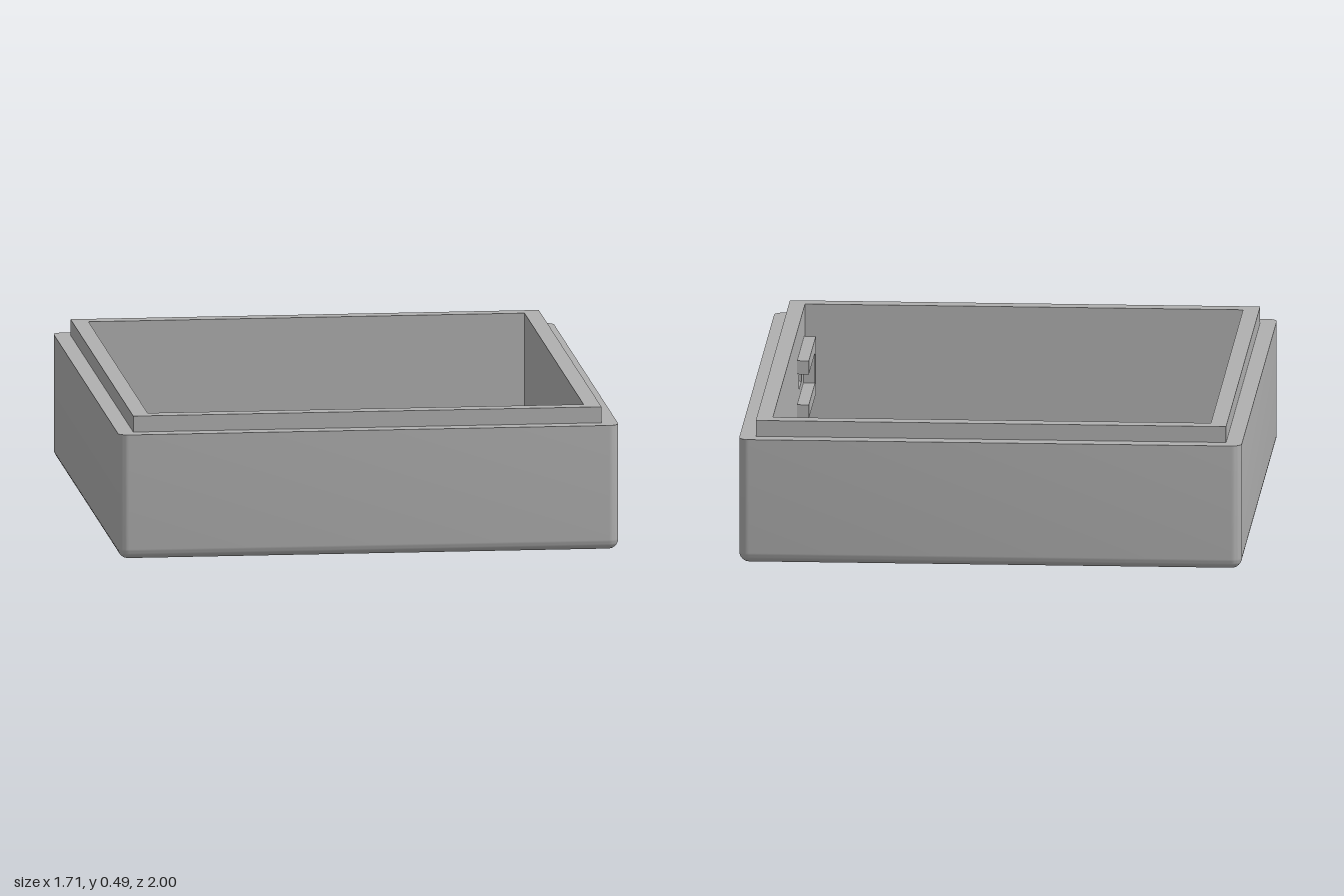
import * as THREE from 'three';
import { toCreasedNormals } from 'three/addons/utils/BufferGeometryUtils.js';

const W = 0.855, D = 1, R = 0.035;          // outer half sizes and edge radius
const IW = 0.745, ID = 0.89;                // cavity half sizes
const FLOOR = 0.055, RIM = 0.43, TOP = 0.485;
const STEPS = 8;

// Rounded rectangle outline at height y, starting on the +x side
function ring(w, d, y, r = 0) {
  const pts = [];
  [[1, 1], [-1, 1], [-1, -1], [1, -1]].forEach(([sx, sz], c) => {
    for (let i = 0; i <= STEPS; i++) {
      const a = (c + i / STEPS) * Math.PI / 2;
      pts.push(new THREE.Vector3(sx * (w - r) + r * Math.cos(a), y, sz * (d - r) + r * Math.sin(a)));
    }
  });
  return pts;
}

// Skin through successive rings; openRight leaves out the flat +x face
function loft(rings) {
  const pos = [];
  const tri = (a, b, c) => {
    const n = b.clone().sub(a).cross(c.clone().sub(a));
    if (n.length() > 1e-10) [a, b, c].forEach(p => pos.push(p.x, p.y, p.z));
  };
  for (let k = 0; k < rings.length - 1; k++) {
    const a = rings[k].pts, b = rings[k + 1].pts, n = a.length;
    for (let i = 0; i < n; i++) {
      if (rings[k].openRight && i === n - 1) continue;
      const j = (i + 1) % n;
      tri(a[i], b[i], a[j]);
      tri(b[i], b[j], a[j]);
    }
  }
  const g = new THREE.BufferGeometry();
  g.setAttribute('position', new THREE.Float32BufferAttribute(pos, 3));
  return toCreasedNormals(g, 0.5);
}

function rect(Type, x0, x1, y0, y1) {
  return new Type([[x0, y0], [x1, y0], [x1, y1], [x0, y1]].map(p => new THREE.Vector2(...p)));
}

function extrude(shape, depth) {
  const g = new THREE.ExtrudeGeometry(shape, { depth, bevelEnabled: false, curveSegments: 40 });
  return toCreasedNormals(g, 0.5);
}

// Plate standing in the side wall: shape x becomes z, outer face at x
function sidePlate(shape, x, depth) {
  return extrude(shape, depth).rotateY(-Math.PI / 2).translate(x, 0, 0);
}

export function createModel() {
  const group = new THREE.Group();
  const grey = new THREE.MeshStandardMaterial({ color: 0xb0b0b0 });
  grey.name = 'grey plastic';
  const add = (name, geometry) => {
    const mesh = new THREE.Mesh(geometry, grey);
    mesh.name = name;
    group.add(mesh);
    return mesh;
  };

  // Tray skin: underside border, rounded edge, walls, stepped lip, cavity
  const rings = [{ pts: ring(IW, ID, 0) }];
  for (let i = 0; i <= STEPS; i++) {
    const a = i / STEPS * Math.PI / 2, s = R * Math.sin(a);
    rings.push({ pts: ring(W - R + s, D - R + s, R - R * Math.cos(a), s), openRight: i === STEPS });
  }
  rings.push(
    { pts: ring(W, D, RIM, R) },
    { pts: ring(W - 0.055, D - 0.055, RIM) },
    { pts: ring(W - 0.055, D - 0.055, TOP) },
    { pts: ring(IW, ID, TOP) },
    { pts: ring(IW, ID, RIM), openRight: true },
    { pts: ring(IW, ID, FLOOR) });
  add('trayShell', loft(rings));

  // Floor with the round cable hole
  const floor = rect(THREE.Shape, -IW, IW, -ID, ID);
  floor.holes.push(new THREE.Path().absarc(0, 0.525, 0.088, 0, Math.PI * 2, true));
  add('floor', extrude(floor, FLOOR).rotateX(-Math.PI / 2));

  // Port wall: shallow pocket outside, smaller window through the rest
  const outer = rect(THREE.Shape, -D + R, D - R, R, RIM);
  outer.holes.push(rect(THREE.Path, 0.505, 0.73, 0.215, 0.36));
  add('portWallOuter', sidePlate(outer, W, 0.02));
  const inner = rect(THREE.Shape, -ID, ID, FLOOR, RIM);
  inner.holes.push(rect(THREE.Path, 0.547, 0.692, 0.26, 0.315));
  add('portWallInner', sidePlate(inner, W - 0.02, W - 0.02 - IW));

  // C-shaped board holder on the inside of the port wall
  const holder = new THREE.Shape([[0.45, 0.185], [0.835, 0.185], [0.835, 0.385], [0.45, 0.385],
    [0.45, 0.338], [0.79, 0.338], [0.79, 0.232], [0.45, 0.232]].map(p => new THREE.Vector2(...p)));
  add('boardHolder', sidePlate(holder, IW, 0.04));

  // U-shaped rib on the floor, open towards the back
  const rib = new THREE.Shape([[-0.33, 0.85], [-0.33, -0.48], [0.33, -0.48], [0.33, 0.85],
    [0.278, 0.85], [0.278, -0.425], [-0.278, -0.425], [-0.278, 0.85]].map(p => new THREE.Vector2(...p)));
  add('floorRib', extrude(rib, 0.1).rotateX(-Math.PI / 2).translate(0, FLOOR, 0));

  return group;
}
